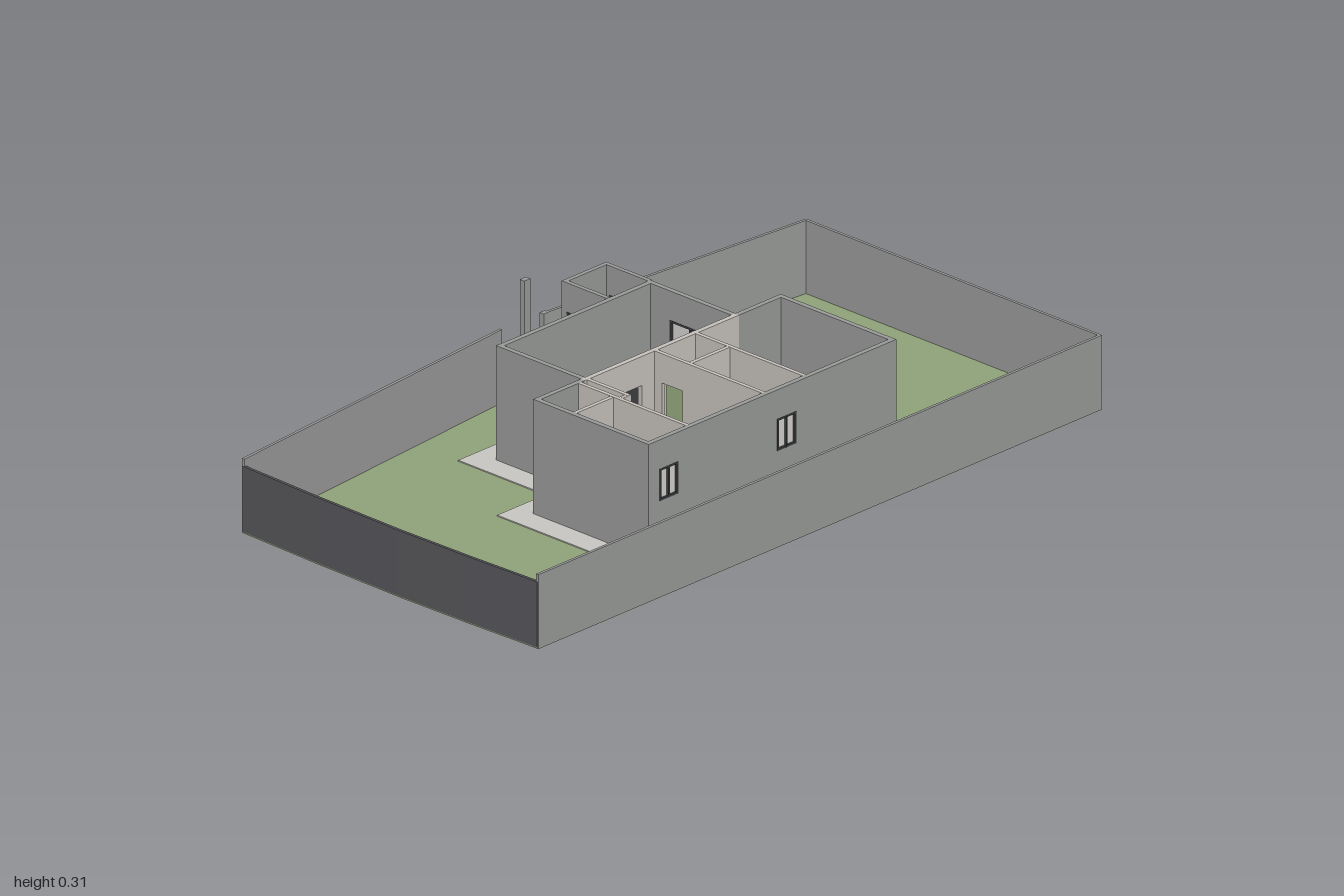
import * as THREE from 'three';

const mat = (name, color, side = THREE.FrontSide) => {
  const m = new THREE.MeshStandardMaterial({ color, side });
  m.name = name;
  return m;
};

export function createModel() {
  const model = new THREE.Group();
  model.name = 'walledHouse';
  const M = {
    wall: mat('wallGrey', 0x9a9c9a),
    front: mat('frontWallCharcoal', 0x58575b),
    lawn: mat('lawnGreen', 0x90a379),
    floor: mat('pavingGrey', 0xc9c7c3),
    inner: mat('interiorBeige', 0xc8c3bd),
    frame: mat('frameDark', 0x3e3f43),
    pane: mat('paneLight', 0xd6d3d0),
    glass: mat('tableGrey', 0x959b9c),
  };
  const H = 0.313, BASE = 0.006;

  // Box given by its minimum and maximum corners
  const box = (name, m, x0, x1, y0, y1, z0, z1, parent = model) => {
    const mesh = new THREE.Mesh(new THREE.BoxGeometry(x1 - x0, y1 - y0, z1 - z0), m);
    mesh.position.set((x0 + x1) / 2, (y0 + y1) / 2, (z0 + z1) / 2);
    mesh.name = name;
    parent.add(mesh);
    return mesh;
  };

  // Flat slab from an outline of [x, z] points
  const slab = (name, m, pts, y0, y1, hole) => {
    const toVec = (p) => new THREE.Vector2(p[0], p[1]);
    const shape = new THREE.Shape(pts.map(toVec));
    if (hole) shape.holes.push(new THREE.Path(hole.map(toVec)));
    const g = new THREE.ExtrudeGeometry(shape, { depth: y1 - y0, bevelEnabled: false });
    g.rotateX(Math.PI / 2).translate(0, y1, 0);
    const mesh = new THREE.Mesh(g, m);
    mesh.name = name;
    model.add(mesh);
  };

  // Boundary wall between two [x, z] points
  const boundary = (name, m, a, b, y0, y1) => {
    const dx = b[0] - a[0], dz = b[1] - a[1];
    const mesh = new THREE.Mesh(new THREE.BoxGeometry(Math.hypot(dx, dz) + 0.002, y1 - y0, 0.008), m);
    mesh.position.set((a[0] + b[0]) / 2, (y0 + y1) / 2, (a[1] + b[1]) / 2);
    mesh.rotation.y = -Math.atan2(dz, dx);
    mesh.name = name;
    model.add(mesh);
  };

  // House wall along x or z, with openings { a, b, y0, y1, fill }
  const houseWall = (name, m, axis, from, to, at, t, openings = []) => {
    const group = new THREE.Group();
    group.name = name;
    model.add(group);
    const part = (n, mm, a, b, y0, y1, d) => {
      if (b - a < 0.0005 || y1 - y0 < 0.0005) return;
      if (axis === 'x') box(n, mm, a, b, y0, y1, at - d / 2, at + d / 2, group);
      else box(n, mm, at - d / 2, at + d / 2, y0, y1, a, b, group);
    };
    let pos = from;
    for (const { a, b, y0 = BASE, y1 = 0.235, fill } of openings) {
      part('wallPanel', m, pos, a, BASE, H, t);
      part('sill', m, a, b, BASE, y0, t);
      part('lintel', m, a, b, y1, H, t);
      if (fill === 'door') part('doorLeaf', M.lawn, a, b, y0, y1, 0.005);
      if (fill === 'window') {
        const f = 0.005, mid = (a + b) / 2;
        part('windowPanes', M.pane, a, b, y0, y1, 0.004);
        for (const s of [a, mid - f / 2, b - f]) part('windowPost', M.frame, s, s + f, y0, y1, t + 0.003);
        for (const s of [y0, y1 - f]) part('windowRail', M.frame, a, b, s, s + f, t + 0.002);
      }
      pos = b;
    }
    part('wallPanel', m, pos, to, BASE, H, t);
  };

  // Ground
  slab('lawn', M.lawn, [[-0.46, -1], [0.54, -1], [0.54, 0.98], [0.31, 0.988], [0.08, 0.992],
    [-0.2, 0.988], [-0.46, 0.98], [-0.543, 0], [-0.533, -0.15]], 0.001, 0.005);
  const footprint = [[-0.015, -0.45], [0.37, -0.45], [0.37, 0.418], [-0.015, 0.418], [-0.015, 0.25],
    [-0.303, 0.25], [-0.303, -0.14], [-0.455, -0.14], [-0.455, -0.295], [-0.015, -0.295]];
  slab('pavedPath', M.floor, [[-0.075, -0.515], [0.435, -0.515], [0.435, 0.485], [-0.075, 0.485],
    [-0.075, 0.315], [-0.37, 0.315], [-0.37, -0.08], [-0.455, -0.08], [-0.455, 0], [-0.54, 0],
    [-0.535, -0.13], [-0.513, -0.355], [-0.075, -0.355]], 0, 0.008, footprint);
  slab('houseFloor', M.floor, footprint, 0.004, 0.008);

  // Boundary walls, with a gateway on the side and a bowed front
  boundary('backWall', M.wall, [-0.456, -0.996], [0.536, -0.996], 0.003, 0.2);
  boundary('leftWall', M.wall, [0.537, -0.998], [0.537, 0.98], 0.003, 0.2);
  boundary('rightWallRear', M.wall, [-0.456, -0.996], [-0.532, -0.15], 0.003, 0.2);
  boundary('rightWallFront', M.wall, [-0.539, -0.01], [-0.456, 0.98], 0.003, 0.2);
  const bow = [[-0.456, 0.978], [-0.2, 0.986], [0.08, 0.99], [0.31, 0.986], [0.536, 0.978]];
  for (let i = 0; i < bow.length - 1; i++) boundary('frontWall', M.front, bow[i], bow[i + 1], 0.005, 0.18);
  box('gatePillar', M.wall, -0.536, -0.521, BASE, H, -0.096, -0.074);
  box('gatePost', M.wall, -0.54, -0.526, BASE, 0.2, -0.165, -0.148);

  const win = (a, b, y0 = 0.11) => ({ a, b, y0, fill: 'window' });
  const T = 0.014;

  // Main block outer walls
  houseWall('mainBack', M.wall, 'x', -0.018, 0.372, -0.445, T);
  houseWall('mainFront', M.wall, 'x', -0.018, 0.372, 0.411, T);
  houseWall('mainLeft', M.wall, 'z', -0.438, 0.404, 0.365, T, [win(-0.1, -0.033, 0.15), win(0.315, 0.38, 0.15)]);
  houseWall('mainRightRear', M.wall, 'z', -0.438, -0.29, -0.011, T);
  houseWall('mainRightFront', M.wall, 'z', 0.25, 0.404, -0.011, T);
  houseWall('mainRightMiddle', M.inner, 'z', -0.29, 0.25, -0.011, T,
    [{ a: -0.105, b: -0.035, fill: 'door' }, { a: 0.05, b: 0.13 }]);

  // Middle block
  houseWall('middleBack', M.wall, 'x', -0.305, -0.018, -0.285, T, [win(-0.225, -0.09)]);
  houseWall('middleFront', M.wall, 'x', -0.305, -0.018, 0.243, T, [{ a: -0.11, b: -0.024, fill: 'door' }]);
  houseWall('middleRight', M.wall, 'z', -0.278, 0.236, -0.297, T);

  // Side room
  houseWall('sideBack', M.wall, 'x', -0.457, -0.305, -0.29, 0.012, [win(-0.435, -0.325)]);
  houseWall('sideFront', M.wall, 'x', -0.457, -0.305, -0.145, 0.012, [win(-0.44, -0.312)]);
  houseWall('sideRight', M.wall, 'z', -0.284, -0.151, -0.451, 0.012);

  // Interior partitions
  const P = 0.011;
  houseWall('partition', M.inner, 'x', -0.004, 0.358, -0.143, P, [{ a: 0.01, b: 0.08 }]);
  houseWall('partition', M.inner, 'x', -0.004, 0.358, 0.0, P, [{ a: 0.02, b: 0.09 }]);
  houseWall('partition', M.inner, 'z', -0.137, -0.006, 0.107, P, [{ a: -0.08, b: -0.02 }]);
  houseWall('partition', M.inner, 'x', -0.004, 0.135, 0.238, P, [{ a: 0.06, b: 0.12 }]);
  houseWall('partition', M.inner, 'z', 0.244, 0.262, 0.13, P);
  houseWall('partition', M.inner, 'x', -0.004, 0.358, 0.268, P, [{ a: 0.03, b: 0.09 }]);
  houseWall('partition', M.inner, 'z', 0.274, 0.404, 0.11, P);

  // Furniture
  box('kitchenCounter', M.frame, -0.282, -0.215, 0.008, 0.1, -0.245, -0.093);
  box('counterSink', M.floor, -0.275, -0.222, 0.1, 0.104, -0.222, -0.172);
  box('diningTableTop', M.glass, -0.282, -0.19, 0.085, 0.092, -0.045, 0.185);
  for (const x of [-0.278, -0.2]) for (const z of [-0.04, 0.174]) {
    box('diningTableLeg', M.glass, x, x + 0.006, 0.008, 0.085, z, z + 0.006);
  }

  // Thin border lines on the bedroom floor
  for (const x of [0.141, 0.344]) box('floorBorder', M.frame, x, x + 0.004, 0.008, 0.011, -0.375, -0.218);
  for (const z of [-0.375, -0.222]) box('floorBorder', M.frame, 0.141, 0.348, 0.008, 0.011, z, z + 0.004);

  return model;
}
